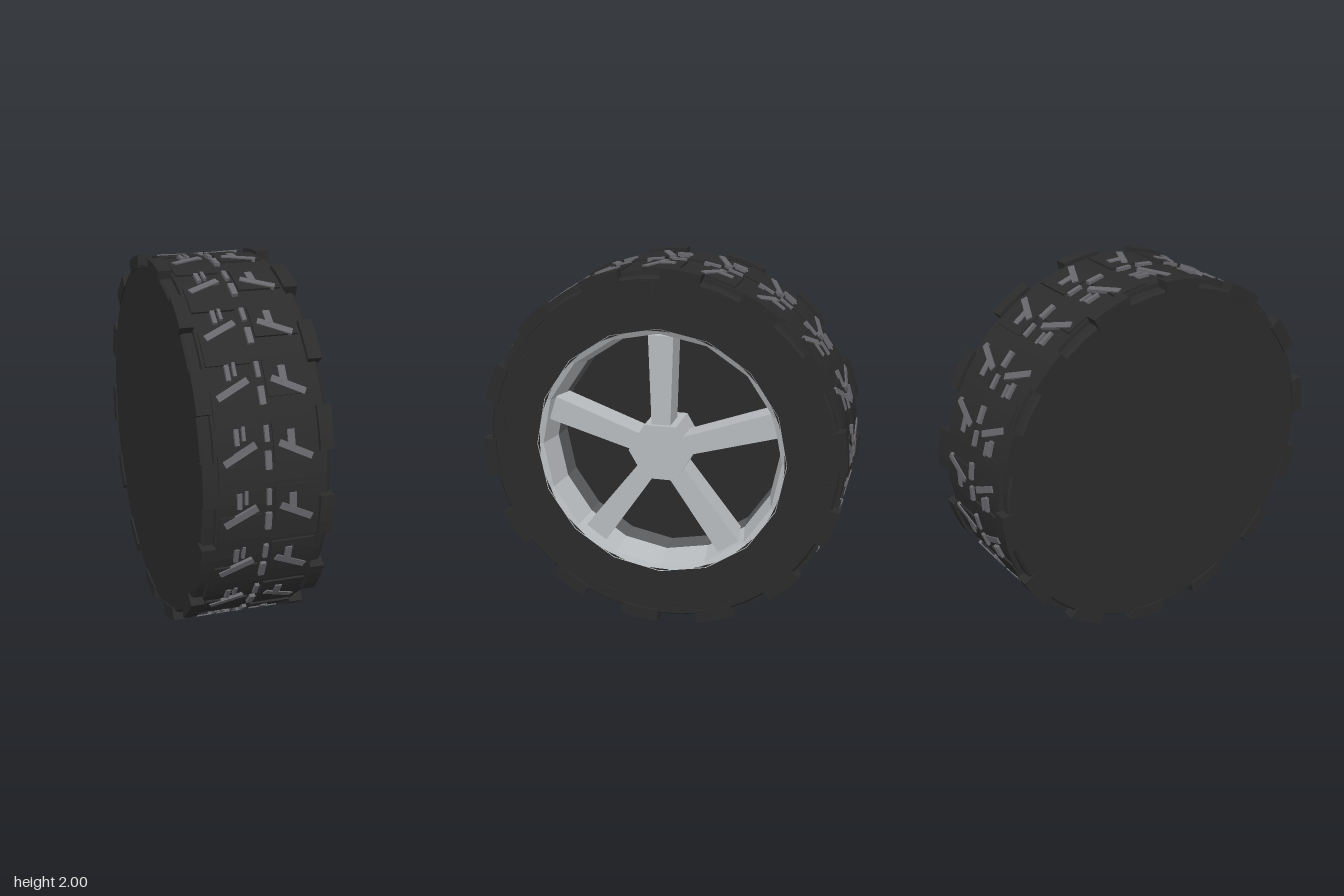
import * as THREE from 'three';

const RAD = Math.PI / 180;

export function createModel() {
  const wheel = new THREE.Group();
  wheel.name = 'wheel';
  wheel.position.y = 1;
  const model = new THREE.Group();
  model.add(wheel);

  const mat = (name, color) => {
    const m = new THREE.MeshStandardMaterial({ color });
    m.name = name;
    return m;
  };
  const rubber = mat('black rubber', 0x2b2b2b);
  const groove = mat('tread grey', 0x66666b);
  const silver = mat('silver metal', 0xb8bbbe);
  const shade = mat('inner barrel grey', 0x5c5d5f);

  const add = (name, geometry, material, parent = wheel) => {
    const mesh = new THREE.Mesh(geometry, material);
    mesh.name = name;
    parent.add(mesh);
    return mesh;
  };

  // Faceted solid turned around the x axis; profile points are [radius, x]
  const turned = (points, sides) => {
    const g = new THREE.LatheGeometry(points.map(p => new THREE.Vector2(...p)), sides);
    g.rotateZ(-Math.PI / 2);
    const flat = g.toNonIndexed();
    flat.computeVertexNormals();
    return flat;
  };

  // Shape in the (-z, y) plane pushed along x from x0 to x1
  const alongX = (points, x0, x1) => {
    const g = new THREE.ExtrudeGeometry(new THREE.Shape(points.map(p => new THREE.Vector2(...p))),
      { depth: x1 - x0, bevelEnabled: false });
    g.rotateY(Math.PI / 2);
    g.translate(x0, 0, 0);
    return g;
  };

  // Curved block around the axle; angle runs from the front upwards, in degrees
  const arcBlock = (r0, r1, angle, span, x0, x1) => {
    const points = [];
    const steps = 3;
    for (let i = 0; i <= steps; i++) {
      const a = (angle + span * (i / steps - 0.5)) * RAD;
      points.push([-r1 * Math.cos(a), r1 * Math.sin(a)]);
    }
    for (let i = steps; i >= 0; i--) {
      const a = (angle + span * (i / steps - 0.5)) * RAD;
      points.push([-r0 * Math.cos(a), r0 * Math.sin(a)]);
    }
    return alongX(points, x0, x1);
  };

  // Tyre carcass with a closed inner side, and the raised centre band
  add('tyre', turned([[0, -0.325], [0.945, -0.325], [0.957, -0.31], [0.957, 0.31],
    [0.945, 0.325], [0.675, 0.325], [0.675, 0.25]], 56), rubber);
  add('treadBand', turned([[0.94, -0.27], [0.978, -0.265], [0.978, 0.265], [0.94, 0.27]], 60), rubber);

  // Staggered shoulder blocks and small side lugs
  for (let i = 0; i < 14; i++) {
    const a = -6 + i * 360 / 14;
    add('shoulderBlockLeft', arcBlock(0.93, 1, a, 12.5, 0.262, 0.334), rubber);
    add('shoulderBlockRight', arcBlock(0.93, 1, a + 180 / 14, 12.5, -0.334, -0.262), rubber);
    add('sideLug', arcBlock(0.875, 0.935, a + 13, 5.6, 0.3, 0.331), rubber);
  }

  // Tread pattern: staggered pads, chevrons and short ribs
  for (let i = 0; i < 20; i++) {
    const a = -5.7 + i * 18;
    add('treadPadLeft', arcBlock(0.96, 0.988, a + 5, 11, 0.03, 0.25), rubber);
    add('treadPadRight', arcBlock(0.96, 0.988, a - 3, 11, -0.25, -0.03), rubber);

    const pitch = new THREE.Group();
    pitch.name = 'treadPitch';
    pitch.rotation.x = -a * RAD;
    wheel.add(pitch);
    const rib = (name, x, y, w, h, tilt = 0) => {
      const m = add(name, new THREE.BoxGeometry(w, h, 0.02), groove, pitch);
      // keep the rib at a constant height above the axle
      m.position.set(x, 0.984 * Math.sin(y), 0.984 * Math.cos(y));
      m.rotation.set(-y, 0, tilt);
    };
    for (const s of [-1, 1]) rib('chevron', s * 0.14, 0.04, 0.18, 0.034, -s * 0.46);
    rib('centreRib', 0, 0, 0.03, 0.09);
    rib('centreRib', 0, 0.13, 0.022, 0.08);
    rib('shortRib', 0.12, 0.1, 0.036, 0.08);
    rib('shortRib', -0.15, 0.125, 0.022, 0.08);
    rib('shortRib', -0.115, 0.14, 0.016, 0.07);
  }

  // Rim: bright lip and barrel, darker deep barrel, black back plate
  add('rim', turned([[0.688, 0.327], [0.658, 0.31], [0.625, 0.16]], 16), silver);
  add('deepBarrel', turned([[0.625, 0.16], [0.618, 0.04]], 16), shade);
  add('backPlate', turned([[0.64, 0.04], [0, 0.04]], 16), rubber);

  // Hexagonal hub
  const hub = new THREE.CylinderGeometry(0.175, 0.175, 0.25, 6).toNonIndexed();
  hub.computeVertexNormals();
  hub.rotateZ(-Math.PI / 2);
  hub.translate(0.175, 0, 0);
  add('hub', hub, silver);

  // Five tapered spokes
  for (let i = 0; i < 5; i++) {
    const spoke = add('spoke', alongX([[-0.05, 0.1], [0.05, 0.1], [0.068, 0.638], [-0.068, 0.638]], 0.13, 0.28), silver);
    spoke.rotation.x = i * 72 * RAD;
  }

  return model;
}
